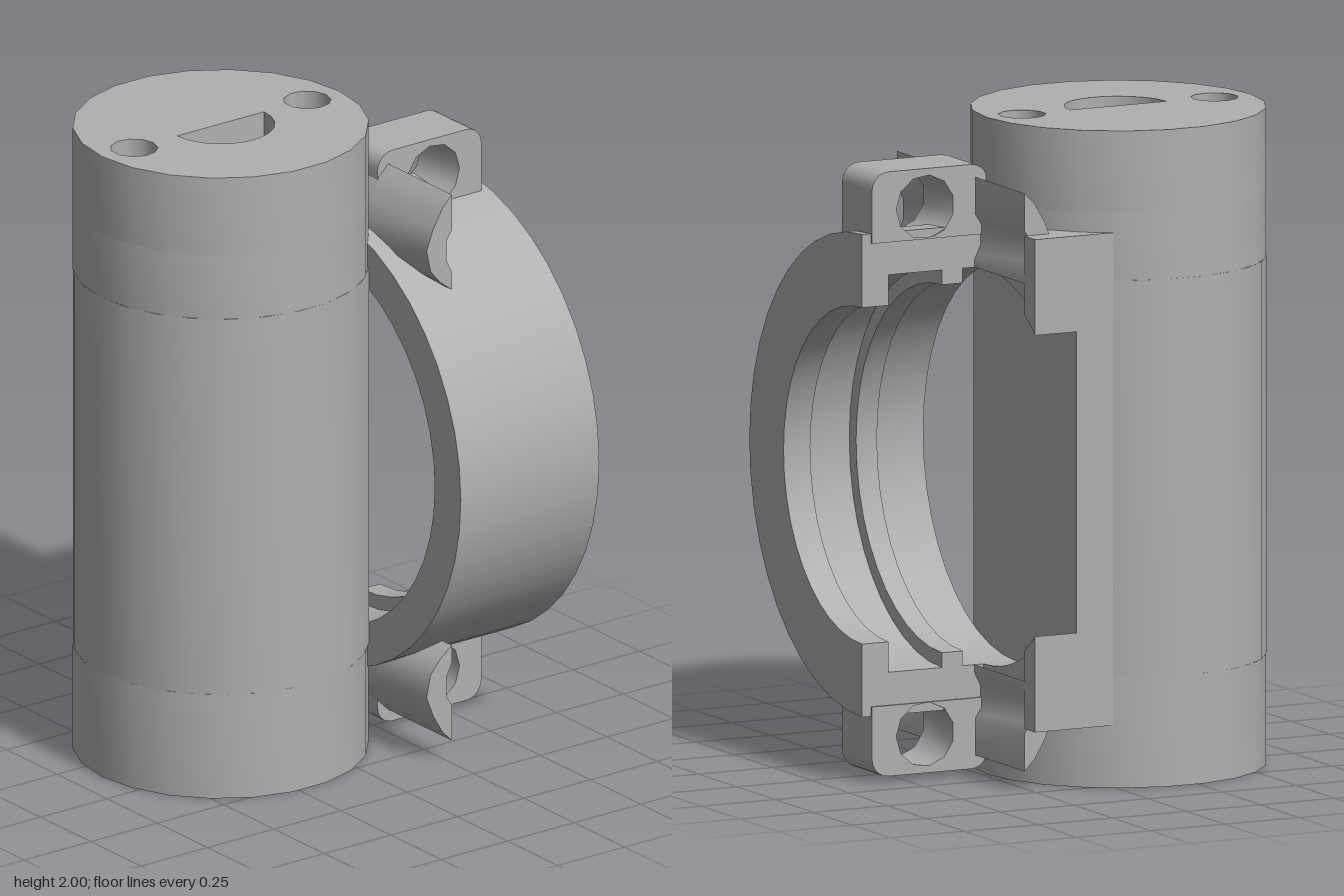
import * as THREE from 'three';
import { toCreasedNormals } from 'three/addons/utils/BufferGeometryUtils.js';

const MID = 0.94;      // height of the ring axis
const RING_Z = -0.14;  // depth of the ring axis

const grey = new THREE.MeshStandardMaterial({ color: 0xb0b0b0, side: THREE.DoubleSide });
grey.name = 'plain grey';

function ngon(cx, cy, r, n, start = 0, end = Math.PI * 2) {
  const full = end - start > 6.28;
  const pts = [];
  for (let i = 0; i < (full ? n : n + 1); i++) {
    const a = start + ((end - start) * i) / n;
    pts.push(new THREE.Vector2(cx + r * Math.cos(a), cy + r * Math.sin(a)));
  }
  return pts;
}

const points = (list) => list.map(([x, y]) => new THREE.Vector2(x, y));

function extrude(pts, depth, holes = []) {
  const shape = new THREE.Shape(pts);
  holes.forEach((h) => shape.holes.push(new THREE.Path(h)));
  return new THREE.ExtrudeGeometry(shape, { depth, bevelEnabled: false });
}

export function createModel() {
  const model = new THREE.Group();
  model.name = 'clampBracket';

  function add(name, geometry, parent = model) {
    const mesh = new THREE.Mesh(toCreasedNormals(geometry, 0.62), grey);
    mesh.name = name;
    parent.add(mesh);
    return mesh;
  }

  // Upright column: stacked slices with a bore, blind holes and a flat recess
  const cx = -0.21, cy = 0.15, R = 0.445;
  const round = ngon(cx, cy, R, 22);
  const cutX = 0.13;
  const cutA = Math.acos((cutX - cx) / R);
  const flat = ngon(cx, cy, R, 20, cutA, Math.PI * 2 - cutA);
  const bore = ngon(cx, cy, 0.163, 11, Math.PI);
  const pins = [-0.535, 0.115].map((x) => ngon(x, cy, 0.072, 11));
  const column = new THREE.Group();
  column.name = 'column';
  model.add(column);
  [
    ['columnBase', round, 0, 0.335, [bore]],
    ['columnRecess', flat, 0.335, 1.545, [bore]],
    ['columnShoulder', round, 1.545, 1.75, [bore]],
    ['columnTop', round, 1.75, 2, [bore, ...pins]],
  ].forEach(([name, outline, y0, y1, holes]) => {
    const g = extrude(outline, y1 - y0, holes);
    g.rotateX(-Math.PI / 2).translate(0, y0, 0);
    add(name, g, column);
  });

  // Half ring with a stepped inner face, turned around the x axis
  const profile = points([
    [0.605, 0.13], [0.735, 0.13], [0.735, 0.65], [0.512, 0.65], [0.512, 0.56],
    [0.605, 0.56], [0.605, 0.38], [0.56, 0.38], [0.56, 0.31], [0.605, 0.31], [0.605, 0.13],
  ]);
  const ring = new THREE.LatheGeometry(profile, 22, -Math.PI / 2, Math.PI);
  add('halfRing', ring.rotateZ(-Math.PI / 2).translate(0, MID, RING_Z));
  const capShape = new THREE.Shape(profile.slice(0, -1));
  [0, Math.PI].forEach((turn) => {
    const cap = new THREE.ShapeGeometry(capShape);
    cap.rotateY(turn).rotateZ(-Math.PI / 2).translate(0, MID, RING_Z);
    add('ringEnd', cap);
  });

  // Spine behind the recess
  add('spine', new THREE.BoxGeometry(0.13, 1.49, 0.235).translate(0.065, MID, -0.4175));

  // Parts repeated above and below the ring axis
  [1, -1].forEach((s) => {
    const side = new THREE.Group();
    side.name = s > 0 ? 'upperMount' : 'lowerMount';
    model.add(side);
    const place = (pts) => pts.map((p) => new THREE.Vector2(p.x, MID + s * p.y));

    // Bolt lug with rounded outer corners
    const lug = [
      ...points([[0.23, 0.705], [0.62, 0.705]]),
      ...ngon(0.565, 0.865, 0.055, 5, 0, Math.PI / 2),
      ...ngon(0.285, 0.865, 0.055, 5, Math.PI / 2, Math.PI),
    ];
    const hole = ngon(0.44, 0.802, 0.098, 11);
    const lugGeo = extrude(place(lug), 0.195, [place(hole)]);
    add('boltLug', lugGeo.translate(0, 0, -0.147), side);

    // Curved rail, trimmed where it meets the ring opening
    const rail = (tip) => place(points([
      [0.27, 0.88], [0.235, 0.845], [0.2, 0.785], [0.175, 0.72], [0.19, 0.65], [0.225, tip + 0.035],
      [0.27, tip], [0.27, 0.63], [0.25, 0.67], [0.25, 0.735], [0.27, 0.765],
    ]));
    add('railFront', extrude(rail(0.573), 0.315).translate(0, 0, 0.05), side);
    add('railBack', extrude(rail(0.605), 0.515).translate(0, 0, -0.465), side);

    // Web between column and rail, hollowed by the ring opening
    [['web', 0.14, 0.465, 0.24], ['webEnd', 0.465, 0.535, 0.27]].forEach(([name, z0, z1, x]) => {
      const a0 = Math.acos((z0 - 0.14) / 0.605);
      const a1 = Math.acos((z1 - 0.14) / 0.605);
      const arc = [];
      for (let i = 0; i <= 6; i++) {
        const a = a0 + ((a1 - a0) * i) / 6;
        arc.push(new THREE.Vector2(0.14 + 0.605 * Math.cos(a), 0.605 * Math.sin(a)));
      }
      const outline = place([...arc, ...points([[z1, 0.75], [z0, 0.75]])]);
      add(name, extrude(outline, x).rotateY(Math.PI / 2), side);
    });
  });

  return model;
}
